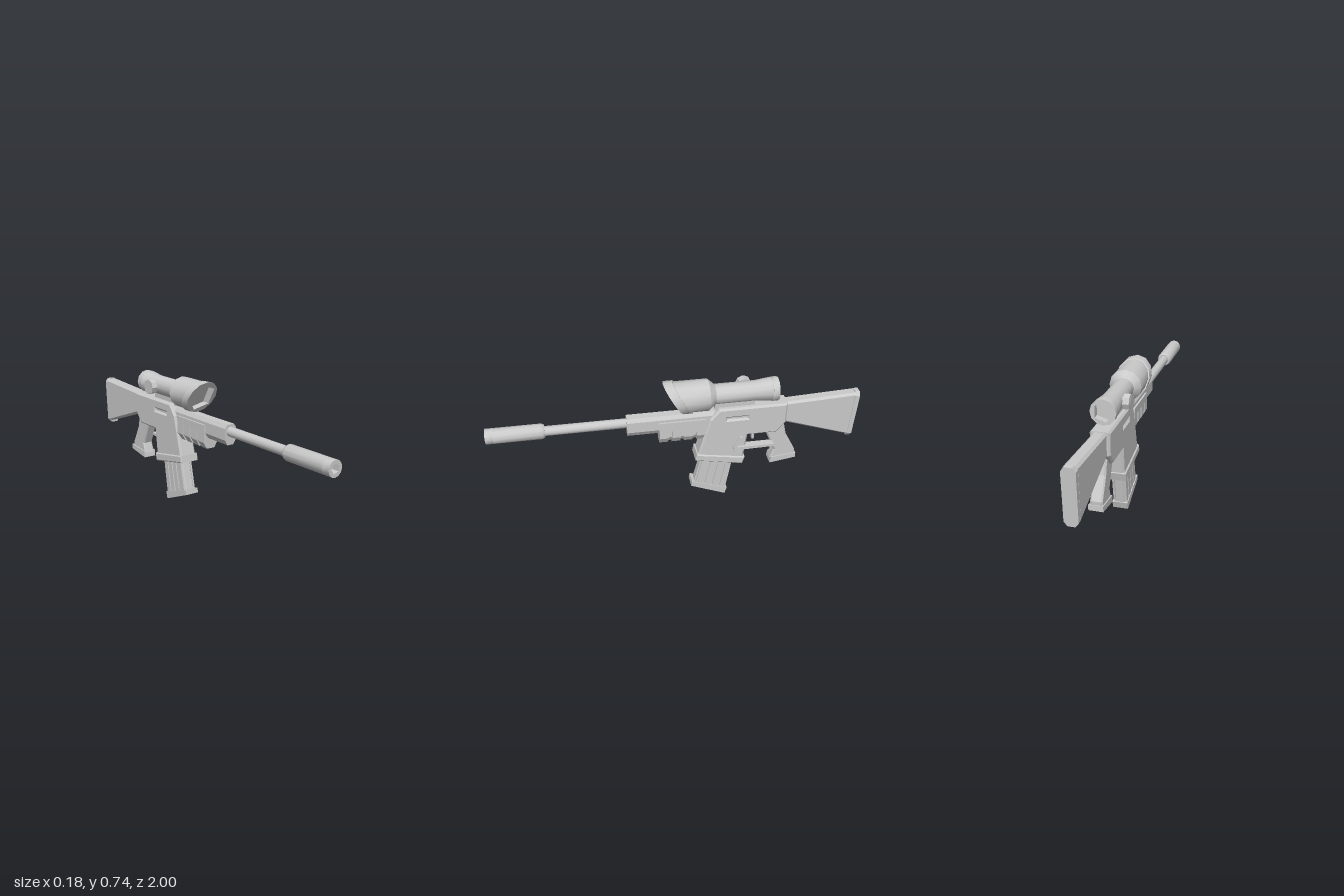
import * as THREE from 'three';
import { toCreasedNormals } from 'three/addons/utils/BufferGeometryUtils.js';

const SIDES = 12;
const CREASE = 0.6;

export function createModel() {
  const gray = new THREE.MeshStandardMaterial({ color: 0xcacaca });
  gray.name = 'lightGray';
  const model = new THREE.Group();
  model.name = 'toyRifle';

  const add = (name, geometry) => {
    const mesh = new THREE.Mesh(geometry, gray);
    mesh.name = name;
    model.add(mesh);
    return mesh;
  };
  const toShape = (pts) => new THREE.Shape(pts.map(([a, b]) => new THREE.Vector2(a, b)));

  // Side profile in (distance backwards, height), extruded across x and bevelled
  const slab = (name, pts, half, bevel = 0, x = 0, hole = null) => {
    const shape = toShape(pts);
    if (hole) shape.holes.push(toShape(hole));
    const g = new THREE.ExtrudeGeometry(shape, {
      depth: 2 * (half - bevel), bevelEnabled: bevel > 0, bevelThickness: bevel,
      bevelSize: bevel, bevelOffset: -bevel, bevelSegments: 1,
    });
    g.translate(0, 0, bevel - half).rotateY(Math.PI / 2).translate(x, 0, 0);
    return add(name, g);
  };

  // Symmetric cross-section (right half, top to bottom) extruded along z
  const section = (name, half, z0, z1) => {
    const mirrored = half.map(([x, y]) => [-x, y]).reverse();
    const g = new THREE.ExtrudeGeometry(toShape([...half, ...mirrored]), { depth: z1 - z0, bevelEnabled: false });
    return add(name, g.translate(0, 0, z0));
  };

  // Round part along z; profile is (radius, z), rising in z
  const turned = (name, pts, y, rule) => {
    const g = new THREE.LatheGeometry(pts.map(([r, z]) => new THREE.Vector2(r, z)), SIDES).rotateX(Math.PI / 2);
    if (rule) rule(g);
    return add(name, toCreasedNormals(g, CREASE).translate(0, y, 0));
  };

  // Round collar with a five-sided opening
  const polygon = (r, n, phase) => Array.from({ length: n }, (_, i) => {
    const t = phase + (i / n) * Math.PI * 2;
    return [r * Math.cos(t), r * Math.sin(t)];
  });
  const collar = (name, outer, inner, z0, z1, y, rule) => {
    const shape = toShape(polygon(outer, SIDES, Math.PI / 2));
    shape.holes.push(toShape(polygon(inner, 5, Math.PI)));
    const g = new THREE.ExtrudeGeometry(shape, { depth: z1 - z0, bevelEnabled: false }).translate(0, 0, z0);
    if (rule) rule(g);
    return add(name, toCreasedNormals(g, CREASE).translate(0, y, 0));
  };

  // Barrel and muzzle
  const barrelY = 0.522;
  turned('barrel', [[0.026, 0.25], [0.026, 0.71]], barrelY);
  turned('muzzleSleeve', [[0, 0.7], [0.034, 0.7], [0.041, 0.712], [0.041, 0.96], [0, 0.96]], barrelY);
  collar('muzzleOpening', 0.041, 0.025, 0.96, 1.0, barrelY);

  // Handguard with ribbed lower grip
  section('handguard', [[0.022, 0.56], [0.035, 0.54], [0.035, 0.48], [0.018, 0.452]], -0.2, 0.275);
  section('lowerGuard', [[0.038, 0.52], [0.038, 0.43], [0.022, 0.402]], -0.2, 0.1);
  section('guardBand', [[0.045, 0.525], [0.045, 0.485]], -0.14, 0.105);
  for (let i = 0; i < 4; i++) {
    const z = 0.058 - i * 0.067;
    section('guardRib', [[0.045, 0.49], [0.045, 0.428], [0.025, 0.393]], z, z + 0.047);
  }

  // Receiver with a recessed port on each side
  slab('receiver', [[0.1, 0.285], [0.357, 0.235], [0.377, 0.4], [0.54, 0.4], [0.59, 0.46],
    [0.59, 0.58], [0.215, 0.58], [0.165, 0.52]], 0.05, 0.01, 0,
  [[0.26, 0.511], [0.372, 0.511], [0.372, 0.522], [0.26, 0.522]]);
  slab('portFloor', [[0.24, 0.49], [0.39, 0.49], [0.39, 0.54], [0.24, 0.54]], 0.039);
  slab('magazineCollar', [[0.09, 0.265], [0.355, 0.213], [0.368, 0.258], [0.097, 0.306]], 0.057, 0.006);

  // Magazine: sloping body, raised side strips and foot
  const magTop = [[0.13, 0.27], [0.305, 0.235]];
  const magFoot = [[0.085, 0.08], [0.27, 0.02]];
  const along = ([a, b], t) => [a[0] + (b[0] - a[0]) * t, a[1] + (b[1] - a[1]) * t];
  slab('magazine', [magFoot[0], magFoot[1], magTop[1], magTop[0]], 0.031, 0.01);
  for (const [s, e] of [[0.03, 0.25], [0.31, 0.49], [0.55, 0.73], [0.79, 0.97]]) {
    slab('magazineStrip', [along(magFoot, s), along(magFoot, e), along(magTop, e), along(magTop, s)], 0.037);
  }
  slab('magazineFoot', [[0.07, 0.08], [0.265, 0], [0.277, 0.04], [0.075, 0.108]], 0.041);

  // Trigger and side-mounted guard
  slab('triggerGuard', [[0.295, 0.34], [0.3, 0.317], [0.525, 0.32], [0.525, 0.335], [0.318, 0.335],
    [0.346, 0.4], [0.332, 0.4]], 0.022, 0, 0.042);
  slab('trigger', [[0.412, 0.345], [0.424, 0.345], [0.428, 0.41], [0.406, 0.41]], 0.01);

  // Rear grip
  slab('grip', [[0.44, 0.42], [0.485, 0.395], [0.54, 0.27], [0.52, 0.21], [0.66, 0.225],
    [0.662, 0.255], [0.603, 0.365], [0.585, 0.44]], 0.031, 0.008);
  slab('gripFoot', [[0.52, 0.185], [0.667, 0.207], [0.667, 0.236], [0.525, 0.222]], 0.037);

  // Stock and butt plate with chamfered corners
  slab('stock', [[0.57, 0.455], [0.968, 0.322], [0.983, 0.594], [0.57, 0.576]], 0.034, 0.012);
  const butt = section('buttPlate', [[0.018, 0.143], [0.034, 0.122], [0.034, -0.122], [0.018, -0.143]], -0.013, 0.013);
  butt.rotation.x = -0.055;
  butt.position.set(0, 0.455, -0.979);

  // Scope: the front end is sheared to a slant
  const scopeY = 0.653;
  const slant = (g) => {
    const p = g.attributes.position;
    for (let i = 0; i < p.count; i++) {
      if (p.getZ(i) > -0.1) p.setZ(i, p.getZ(i) + p.getY(i) * 0.6);
    }
    g.computeVertexNormals();
  };
  turned('scopeBody', [[0, -0.5], [0.064, -0.5], [0.054, -0.41], [0.054, -0.195],
    [0.085, -0.16], [0.085, -0.025], [0, -0.025]], scopeY, slant);
  collar('scopeHood', 0.091, 0.076, -0.025, 0.026, scopeY, slant);
  collar('scopeEyepiece', 0.065, 0.05, -0.535, -0.5, scopeY);
  add('scopeMount', new THREE.BoxGeometry(0.05, 0.05, 0.215).translate(0, 0.593, -0.303));

  // Adjustment knob on the right side of the scope
  const knob = (r0, r1, x0, x1) => {
    const g = new THREE.CylinderGeometry(r0, r1, x1 - x0, 8).rotateZ(Math.PI / 2);
    add('scopeKnob', toCreasedNormals(g.translate((x0 + x1) / 2, scopeY, -0.37), 0.5));
  };
  knob(0.025, 0.025, -0.06, -0.03);
  knob(0.041, 0.041, -0.088, -0.056);
  knob(0.041, 0.03, -0.095, -0.088);

  // Slight turn about the vertical axis
  model.rotation.y = -0.014;
  return model;
}
